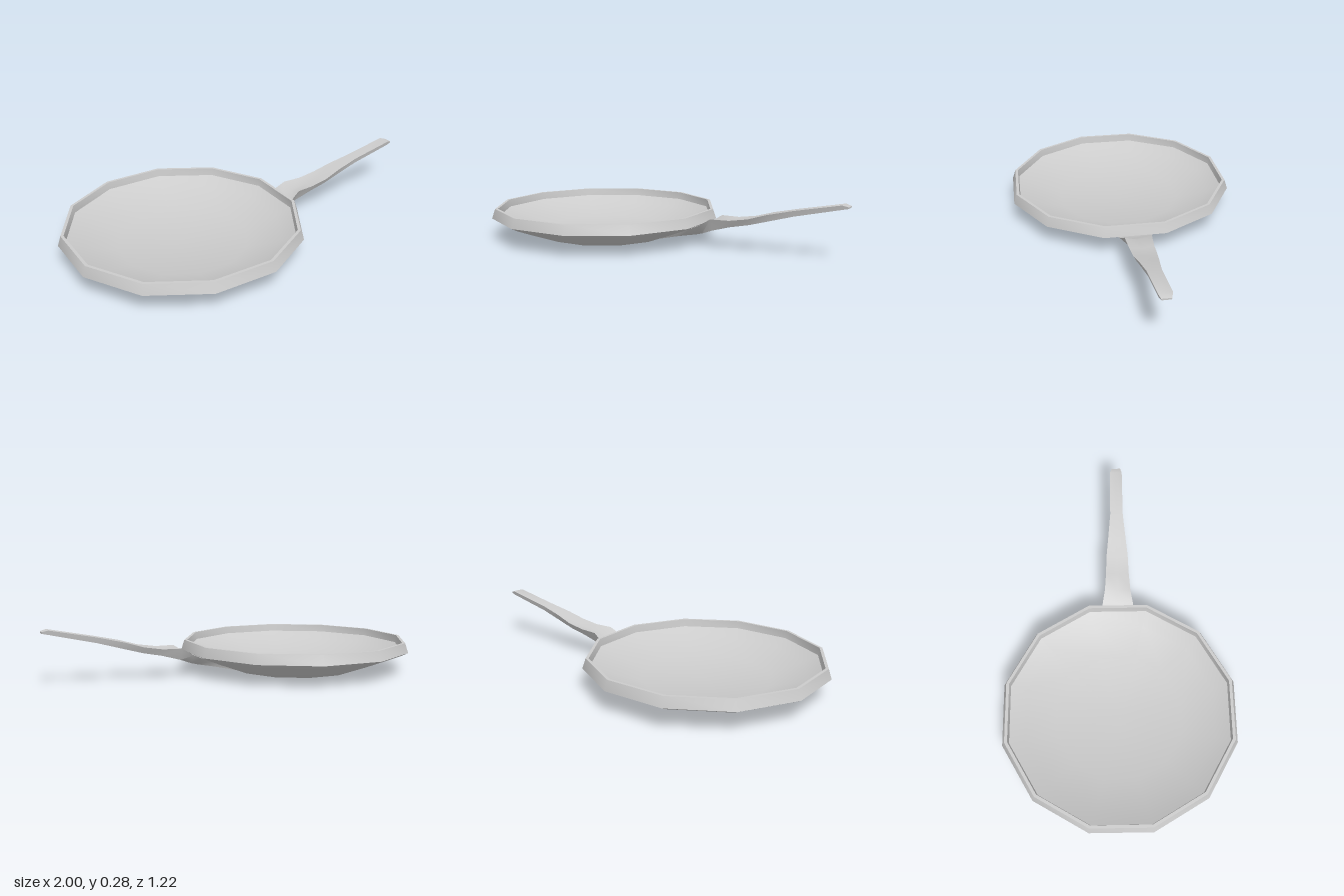
import * as THREE from 'three';
import { toCreasedNormals } from 'three/addons/utils/BufferGeometryUtils.js';

const material = new THREE.MeshStandardMaterial({ color: 0xcccccc });
const SIDES = 12;
const PAN_X = -0.39;

// Twelve-sided pan, profile given as [distance to flat side, height]
function createPan() {
  const toCorner = 1 / Math.cos(Math.PI / SIDES);
  const profile = [
    [0, 0], [0.33, 0], [0.5, 0.065], [0.575, 0.095], [0.61, 0.113], [0.593, 0.165], // outside
    [0.578, 0.165], [0.573, 0.125], [0.5, 0.09], [0.33, 0.035], [0, 0.025], // inside
  ].map(([r, y]) => new THREE.Vector2(r * toCorner, y));
  const lathe = new THREE.LatheGeometry(profile, SIDES, Math.PI / SIDES);
  const pan = new THREE.Mesh(toCreasedNormals(lathe, 0.9), material);
  pan.name = 'pan';
  pan.position.x = PAN_X;
  return pan;
}

// Handle lofted through cross-sections along x, with a dished top and a narrower keel
function createHandle() {
  // x, top half width, top height, dish depth, bottom half width, bottom height
  const stations = [
    [-0.05, 0.03, 0.02, 0, 0.025, 0.004],
    [0.1, 0.055, 0.075, 0, 0.035, 0.04],
    [0.2, 0.088, 0.1, 0, 0.04, 0.06],
    [0.24, 0.083, 0.118, 0.008, 0.042, 0.07],
    [0.3, 0.07, 0.155, 0.018, 0.045, 0.092],
    [0.4, 0.063, 0.156, 0.01, 0.045, 0.12],
    [0.5, 0.059, 0.172, 0.004, 0.042, 0.14],
    [0.6, 0.048, 0.202, 0, 0.035, 0.167],
    [0.73, 0.035, 0.232, 0, 0.028, 0.203],
    [0.97, 0.033, 0.28, 0, 0.028, 0.258],
    [1, 0.024, 0.272, 0, 0.022, 0.264],
  ];
  const positions = [];
  const index = [];
  const n = 5;
  for (const [x, w, top, dish, b, bottom] of stations) {
    positions.push(x, top, -w, x, top - dish, 0, x, top, w, x, bottom, b, x, bottom, -b);
  }
  for (let i = 0; i < stations.length - 1; i++) {
    for (let j = 0; j < n; j++) {
      const a = i * n + j;
      const b = i * n + ((j + 1) % n);
      index.push(a, b, a + n, b, b + n, a + n);
    }
  }
  // End caps
  const last = (stations.length - 1) * n;
  for (let j = 1; j < n - 1; j++) {
    index.push(0, j + 1, j, last, last + j, last + j + 1);
  }
  const geometry = new THREE.BufferGeometry();
  geometry.setAttribute('position', new THREE.Float32BufferAttribute(positions, 3));
  geometry.setIndex(index);
  const handle = new THREE.Mesh(toCreasedNormals(geometry, 0.9), material);
  handle.name = 'handle';
  return handle;
}

export function createModel() {
  const group = new THREE.Group();
  group.name = 'fryingPan';
  group.add(createPan(), createHandle());
  return group;
}
